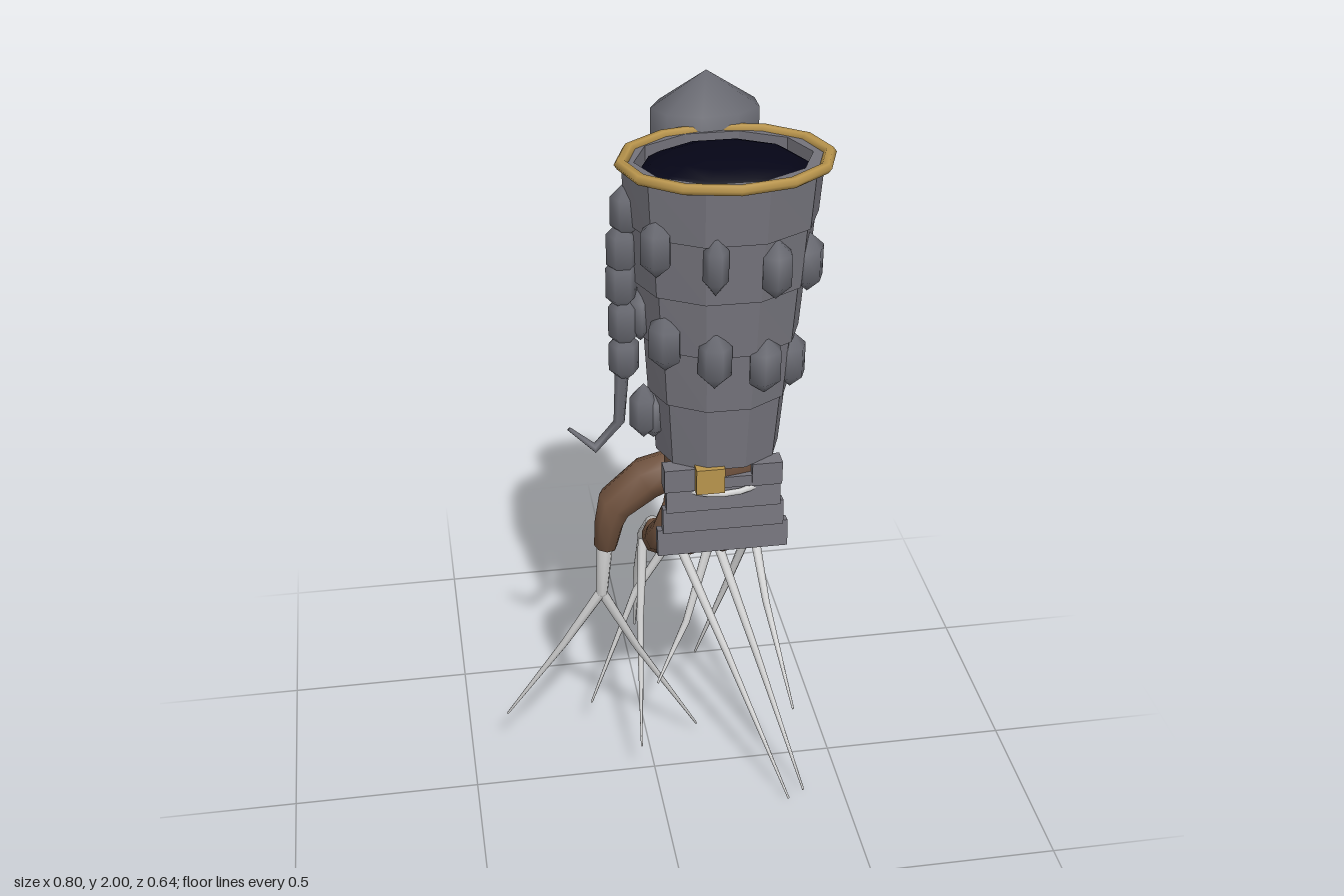
import * as THREE from 'three';

const mat = (name, color, opts = {}) => {
  const m = new THREE.MeshStandardMaterial({ color, ...opts });
  m.name = name;
  return m;
};

export function createModel() {
  const root = new THREE.Group();
  root.name = 'clawedGauntlet';
  const steel = mat('steel grey', 0x74737b, { flatShading: true });
  const stone = mat('stud grey', 0x6b6c74);
  const gold = mat('gold', 0xb8944c);
  const leather = mat('brown leather', 0x71533f);
  const bone = mat('pale claw', 0xd6d6d6);
  const dark = mat('dark lining', 0x050516);

  const add = (name, geo, material, pos = [0, 0, 0], scale = [1, 1, 1], parent = root) => {
    const m = new THREE.Mesh(geo, material);
    m.name = name;
    m.position.set(...pos);
    m.scale.set(...scale);
    parent.add(m);
    return m;
  };

  // Joins k rings of n points (plus two end centres) into a closed skin
  const skin = (v, k, n) => {
    const idx = [];
    for (let j = 0; j < n; j++) {
      const j2 = (j + 1) % n;
      for (let i = 0; i < k - 1; i++) {
        const a = i * n + j, b = i * n + j2;
        idx.push(a, b, a + n, b, b + n, a + n);
      }
      idx.push(k * n, j2, j, k * n + 1, (k - 1) * n + j, (k - 1) * n + j2);
    }
    const g = new THREE.BufferGeometry();
    g.setAttribute('position', new THREE.Float32BufferAttribute(v, 3));
    g.setIndex(idx);
    g.computeVertexNormals();
    return g;
  };

  // Upright elliptical loft through rings [y, rx, rz, cz]
  const CX = 0.14;
  const stack = (rings, n) => {
    const v = [], k = rings.length;
    rings.forEach(([y, rx, rz, cz]) => {
      for (let j = 0; j < n; j++) {
        const a = (j / n) * Math.PI * 2;
        v.push(CX + Math.cos(a) * rx, y, cz - Math.sin(a) * rz);
      }
    });
    [rings[0], rings[k - 1]].forEach(([y, , , cz]) => v.push(CX, y, cz));
    return skin(v, k, n);
  };

  // Tapered limb through points [x, y, z, radius]
  const limb = (pts, n, ref) => {
    const v = [], k = pts.length;
    const p = pts.map(q => new THREE.Vector3(q[0], q[1], q[2]));
    p.forEach((c, i) => {
      const t = p[Math.min(i + 1, k - 1)].clone().sub(p[Math.max(i - 1, 0)]).normalize();
      const u = ref.clone().cross(t).normalize();
      const w = t.clone().cross(u);
      for (let j = 0; j < n; j++) {
        const a = (j / n) * Math.PI * 2, r = pts[i][3];
        const q = c.clone().addScaledVector(u, Math.cos(a) * r).addScaledVector(w, Math.sin(a) * r);
        v.push(q.x, q.y, q.z);
      }
    });
    v.push(...p[0].toArray(), ...p[k - 1].toArray());
    return skin(v, k, n);
  };
  const X = new THREE.Vector3(1, 0, 0), Z = new THREE.Vector3(0, 0, 1);

  // Sleeve: five overlapping ten-sided bands, the top one with a recessed mouth
  const sleeveAt = y => {
    const t = (y - 1.12) / 0.76;
    return [0.146 + 0.09 * t, 0.122 + 0.055 * t, 0.1 + 0.015 * t];
  };
  const levels = [1.12, 1.29, 1.44, 1.585, 1.735, 1.88];
  for (let i = 0; i < 5; i++) {
    const [ax, az, ac] = sleeveAt(levels[i]);
    const [bx, bz, bc] = sleeveAt(levels[i + 1]);
    const rings = [[levels[i], ax + 0.007, az + 0.007, ac], [levels[i + 1], bx, bz, bc]];
    if (i === 4) rings.push([1.88, 0.206, 0.155, 0.112], [1.83, 0.206, 0.155, 0.112]);
    add('sleeveBand', stack(rings, 10), steel);
  }

  // Gold rim and dark domed opening
  const rim = add('goldRim', new THREE.TorusGeometry(1, 0.065, 6, 12), gold, [0.143, 1.88, 0.12], [0.24, 0.182, 0.2]);
  rim.rotation.x = Math.PI / 2;
  add('sleeveOpening', new THREE.SphereGeometry(1, 10, 5, 0, Math.PI * 2, 0, Math.PI / 2), dark, [CX, 1.838, 0.112], [0.206, 0.06, 0.155]);

  // Large shoulder stone behind the rim
  add('shoulderStone', new THREE.SphereGeometry(1, 9, 3), stone, [0.14, 1.828, -0.125], [0.152, 0.172, 0.1]);

  // Two descending rings of studs
  const stud = new THREE.SphereGeometry(1, 6, 3);
  [[1.715, 0.027], [1.465, 0.03]].forEach(([top, drop], row) => {
    for (let i = 0; i < 9; i++) {
      const y = top - drop * i, a = THREE.MathUtils.degToRad(142 - 40 * i);
      const [rx, rz, cz] = sleeveAt(y);
      const wide = (row === 0 && i === 1) ? 0.034 : 0.046 + 0.006 * ((i + row) % 2);
      const s = add('stud', stud, stone, [CX + Math.cos(a) * rx, y, cz + Math.sin(a) * rz], [wide, 0.075, 0.042]);
      s.rotation.y = Math.PI / 2 - a;
    }
  });

  // Segmented tail down the right side, ending in a hooked sting
  [[-0.085, 1.765, 0.07], [-0.095, 1.67, 0.075], [-0.097, 1.585, 0.075], [-0.092, 1.485, 0.075], [-0.092, 1.39, 0.07]]
    .forEach(([x, y, h]) => add('tailSegment', stud, stone, [x, y, 0.11], [0.042, h, 0.042]));
  add('tailSting', limb([[-0.095, 1.38, 0.11, 0.018], [-0.105, 1.21, 0.11, 0.014],
    [-0.165, 1.14, 0.11, 0.014], [-0.228, 1.2, 0.11, 0.005]], 6, Z), stone);
  add('tailRoot', stud, stone, [-0.045, 1.235, 0.11], [0.04, 0.075, 0.04]);

  // Leather cuff, wrist and palm
  add('leatherCuff', stack([[1.05, 0.115, 0.095, 0.1], [1.07, 0.132, 0.105, 0.1], [1.11, 0.134, 0.108, 0.1], [1.13, 0.12, 0.1, 0.1]], 12), leather);
  add('palm', stack([[0.85, 0.115, 0.05, 0.085], [0.88, 0.135, 0.062, 0.088], [0.97, 0.132, 0.072, 0.095], [1.07, 0.11, 0.09, 0.1]], 12), leather);
  const band = add('wristRing', new THREE.TorusGeometry(1, 0.07, 6, 20), bone, [CX, 1.042, 0.104], [0.127, 0.109, 0.11]);
  band.rotation.x = Math.PI / 2;

  // Back-of-hand plates, stepping outward and widening downward
  [[1.025, 0.285, 0.07, 0.187], [0.966, 0.302, 0.066, 0.19], [0.902, 0.328, 0.07, 0.188]].forEach(([y, w, h, z]) => {
    const p = add('handPlate', new THREE.BoxGeometry(w, h, 0.026), steel, [CX, y, z]);
    p.rotation.x = -0.12;
  });
  [[0.028, 0.075], [0.245, 0.075]].forEach(([x, w]) =>
    add('strapPlate', new THREE.BoxGeometry(w, 0.062, 0.045), steel, [x, 1.088, 0.19]));
  add('strap', new THREE.BoxGeometry(0.16, 0.03, 0.03), steel, [CX, 1.072, 0.195]);
  add('goldBuckle', new THREE.BoxGeometry(0.07, 0.068, 0.035), gold, [0.1, 1.094, 0.219]);

  // Four curled fingers and the thumb
  [0.005, 0.09, 0.175, 0.265].forEach((x, i) => {
    const kx = 0.04 + i * 0.067, dy = i === 0 || i === 3 ? 0.012 : 0;
    add('finger', limb([[kx, 0.95, 0.1, 0.036], [(kx + x) / 2, 0.87, 0.095, 0.046], [x, 0.82 + dy, 0.065, 0.042],
      [x, 0.775 + dy, 0.01, 0.039], [x, 0.77 + dy, -0.035, 0.034], [x, 0.785 + dy, -0.06, 0.018]], 8, X), leather);
  });
  add('thumb', limb([[0.05, 1.04, 0.065, 0.05], [-0.03, 1.01, 0.06, 0.056], [-0.11, 0.94, 0.055, 0.05],
    [-0.125, 0.88, 0.05, 0.038], [-0.135, 0.805, 0.045, 0.03]], 8, Z), leather);

  // Forked claws: root, fork point, then two prongs [elbow, tip]
  const claws = [
    [[-0.135, 0.83, 0.045], [-0.145, 0.65, 0.03], [[-0.245, 0.46, -0.01], [-0.4, 0.175, -0.09]], [[-0.04, 0.4, -0.04], [0.14, 0.045, -0.12]]],
    [[0.002, 0.8, -0.045], [-0.012, 0.71, -0.13], [[-0.012, 0.51, -0.25], [-0.008, 0.265, -0.327]], [[-0.025, 0.46, -0.1], [-0.045, 0.135, 0.06]]],
    [[0.085, 0.79, -0.045], [0.075, 0.7, -0.135], [[-0.025, 0.48, -0.19], [-0.158, 0.135, -0.15]], [[0.2, 0.38, -0.01], [0.345, 0.006, 0.19]]],
    [[0.175, 0.79, -0.045], [0.18, 0.7, -0.135], [[0.105, 0.42, -0.11], [0.015, 0.27, -0.04]], [[0.28, 0.38, 0], [0.39, 0.015, 0.172]]],
    [[0.265, 0.8, -0.045], [0.285, 0.72, -0.12], [[0.243, 0.48, -0.21], [0.162, 0.18, -0.278]], [[0.305, 0.54, -0.01], [0.35, 0.305, 0.17]]],
  ];
  claws.forEach(([start, fork, ...prongs]) => {
    const claw = new THREE.Group();
    claw.name = 'forkedClaw';
    root.add(claw);
    add('clawRoot', limb([[...start, 0.022], [...fork, 0.016]], 8, X), bone, undefined, undefined, claw);
    add('clawJoint', new THREE.SphereGeometry(0.016, 8, 6), bone, fork, undefined, claw);
    prongs.forEach(([elbow, tip]) =>
      add('clawProng', limb([[...fork, 0.014], [...elbow, 0.01], [...tip, 0.003]], 7, X), bone, undefined, undefined, claw));
  });
  return root;
}
